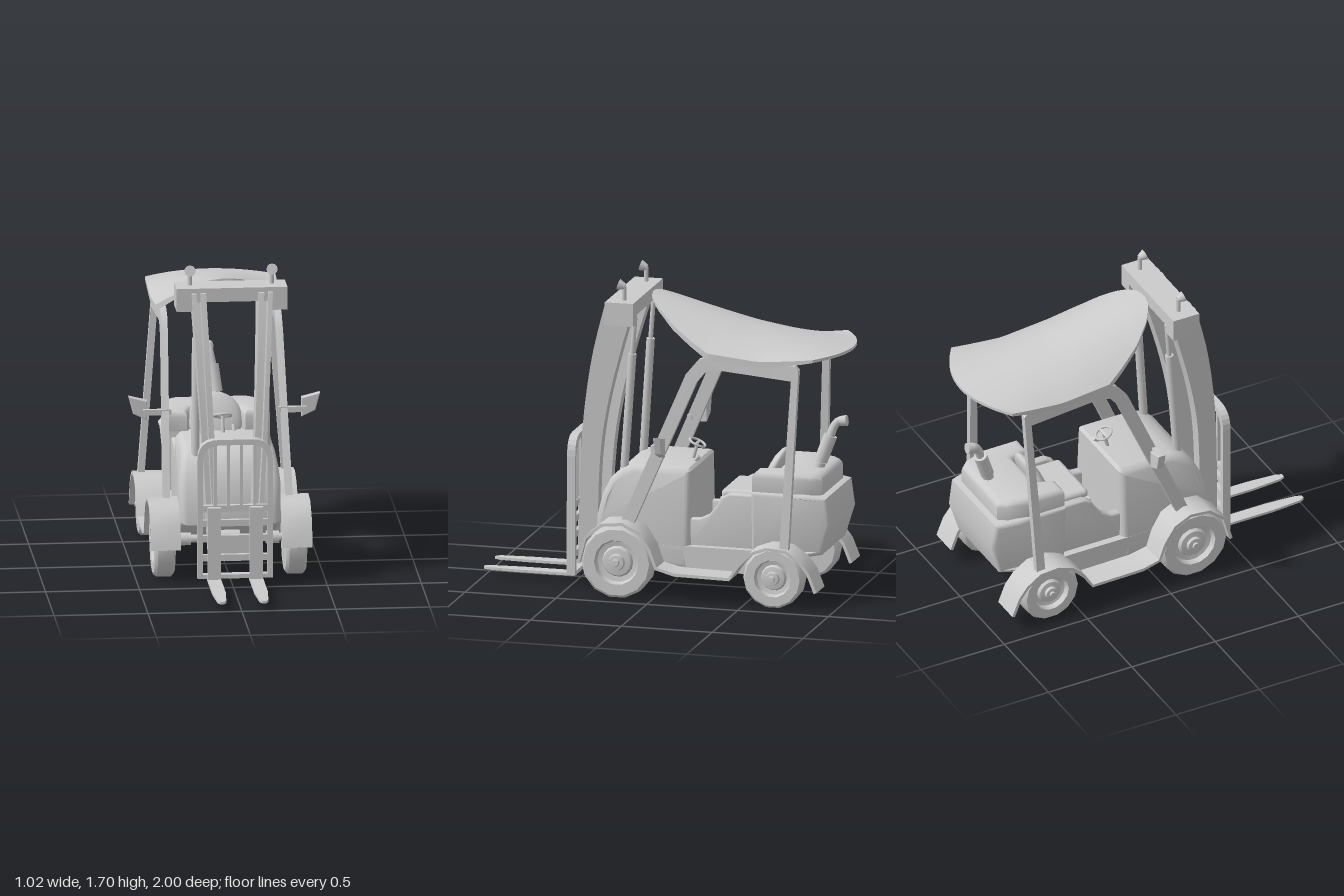
import * as THREE from 'three';
import { toCreasedNormals } from 'three/addons/utils/BufferGeometryUtils.js';
import { RoundedBoxGeometry } from 'three/addons/geometries/RoundedBoxGeometry.js';

const grey = new THREE.MeshStandardMaterial({ color: 0xcccccc, side: THREE.DoubleSide });
const V = (x, y, z) => new THREE.Vector3(x, y, z);
const flat = (points) => new THREE.Shape(points.map(([a, b]) => new THREE.Vector2(a, b)));
const mirrored = (points) => points.map(([a, b]) => [-a, b]).reverse();

function place(parent, name, object, x, y, z) {
  object.name = name;
  object.position.set(x, y, z);
  parent.add(object);
  return object;
}
const add = (parent, name, geo, x = 0, y = 0, z = 0) => place(parent, name, new THREE.Mesh(geo, grey), x, y, z);
const group = (parent, name, x) => place(parent, name, new THREE.Group(), x, 0, 0);
const box = (parent, name, w, h, d, x, y, z) => add(parent, name, new THREE.BoxGeometry(w, h, d), x, y, z);

function rod(parent, name, a, b, r1, r2 = r1) {
  const d = b.clone().sub(a);
  const mesh = add(parent, name, new THREE.CylinderGeometry(r2, r1, d.length(), 12));
  mesh.position.copy(a).addScaledVector(d, 0.5);
  mesh.quaternion.setFromUnitVectors(V(0, 1, 0), d.normalize());
}

// Move every vertex by a rule, then rebuild normals with sharp creases
function warp(geo, rule) {
  const p = geo.attributes.position, v = V(0, 0, 0);
  for (let i = 0; i < p.count; i++) {
    rule(v.fromBufferAttribute(p, i));
    p.setXYZ(i, v.x, v.y, v.z);
  }
  return toCreasedNormals(geo, 0.6);
}

// Extrude a shape to a total depth that includes its rounded bevel
function slab(shape, depth, bevel) {
  return new THREE.ExtrudeGeometry(shape, {
    depth: depth - 2 * bevel, bevelEnabled: bevel > 0, bevelSize: bevel,
    bevelThickness: bevel, bevelOffset: -bevel, bevelSegments: 3, curveSegments: 6,
  }).translate(0, 0, bevel);
}

// Side profile of [z, y] points, extruded across x and centred
function side(points, width, bevel = 0, rule = () => {}) {
  return warp(slab(flat(points), width, bevel).translate(0, 0, -width / 2).rotateY(-Math.PI / 2), rule);
}

// Piecewise value from [z, value] points listed from front to back
function valueAt(points, z) {
  const i = Math.min(Math.max(points.findIndex((p) => p[0] <= z), 1), points.length - 1);
  const [a, b] = [points[i - 1], points[i]];
  return THREE.MathUtils.lerp(a[1], b[1], (z - a[0]) / (b[0] - a[0]));
}

// Canopy: a subdivided box bent into arched sections with a deeper lip at the sides
function canopyGeometry() {
  const centre = [[0.1, 1.605], [-0.015, 1.58], [-0.285, 1.508], [-0.445, 1.467], [-0.7, 1.42], [-1, 1.372]];
  const edge = [[0.1, 1.46], [-0.1, 1.4], [-0.29, 1.365], [-0.59, 1.338], [-1, 1.37]];
  const half = [[0.1, 0.02], [0.09, 0.075], [0.04, 0.155], [-0.06, 0.24], [-0.18, 0.3], [-0.29, 0.345], [-1, 0.347]];
  return warp(new THREE.BoxGeometry(2, 1, 1, 16, 1, 24), (v) => {
    const t = 0.5 - v.z, z = 0.1 - 1.1 * t ** 1.5, x = v.x * valueAt(half, z), k = (x / 0.347) ** 2;
    const drop = v.y < 0 ? 0.016 + 0.022 * k * (1 - t ** 4) : 0;
    v.set(x, THREE.MathUtils.lerp(valueAt(centre, z), valueAt(edge, z), k) - drop, z + 0.13 * v.x ** 2 * t ** 6);
  });
}

export function createModel() {
  const model = new THREE.Group();
  model.name = 'forklift';

  // Body: front cowl, floor, footwell sides, seat base, counterweight and engine hood
  add(model, 'frontCowl', side([[0.35, 0.32], [0.345, 0.42], [0.315, 0.54], [0.27, 0.63], [0.21, 0.685], [0.14, 0.705],
    [-0.155, 0.705], [-0.17, 0.69], [-0.17, 0.16], [0, 0.17], [0.2, 0.26]], 0.57, 0.035, (v) => {
    if (v.z > 0.1) v.x *= 1 - 1.3 * (v.z - 0.1) ** 2;
    if (v.y > 0.5) v.x *= 1 - 2.5 * (v.y - 0.5) ** 2 - 0.25 * (v.y - 0.5);
  }));
  add(model, 'floor', side([[0.02, 0.16], [0, 0.29], [-0.55, 0.29], [-0.55, 0.16]], 0.56));
  const sill = side([[-0.15, 0.28], [-0.15, 0.43], [-0.22, 0.435], [-0.27, 0.46], [-0.31, 0.51], [-0.335, 0.555],
    [-0.38, 0.58], [-0.54, 0.58], [-0.54, 0.28]], 0.05, 0.01);
  for (const x of [0.215, -0.215]) add(model, 'footwellSide', sill, x);
  box(model, 'seatBase', 0.4, 0.28, 0.22, 0, 0.41, -0.43);
  const taper = (v) => {
    if (v.z < -0.8) v.x *= 1 - 0.85 * (-0.8 - v.z);
    if (v.y < 0.45) v.x *= 1 - 0.4 * (0.45 - v.y);
  };
  add(model, 'counterweight', side([[-0.51, 0.27], [-0.51, 0.61], [-0.7, 0.61], [-0.8, 0.608], [-0.92, 0.595], [-0.942, 0.45],
    [-0.89, 0.28], [-0.8, 0.265], [-0.66, 0.265]], 0.57, 0.02, taper));
  const hood = [[0.268, 0.515], [0.268, 0.73], [0.24, 0.84], [0.2, 0.885]], notch = [[0.12, 0.62], [0.155, 0.515]];
  const hoodPlan = flat([...hood, ...mirrored(hood), ...mirrored(notch), ...notch]);
  add(model, 'engineHood', warp(slab(hoodPlan, 0.17, 0.035).rotateX(-Math.PI / 2).translate(0, 0.55, 0), (v) => {
    if (v.z < -0.72) v.y += 0.08 * (v.z + 0.72);
  }));

  // Seat, steering wheel and lever
  add(model, 'seatCushion', new RoundedBoxGeometry(0.34, 0.07, 0.21, 3, 0.025), 0, 0.552, -0.42);
  const back = add(model, 'seatBack', new THREE.SphereGeometry(1, 20, 12), 0, 0.658, -0.57);
  back.scale.set(0.145, 0.15, 0.042);
  back.rotation.x = -0.42;
  const wheel = add(model, 'steeringWheel', new THREE.TorusGeometry(0.045, 0.007, 8, 20), 0, 0.79, -0.14);
  wheel.rotation.x = Math.PI / 2 - 0.44;
  box(wheel, 'steeringSpoke', 0.09, 0.012, 0.008, 0, 0, 0);
  rod(model, 'steeringColumn', V(0, 0.68, -0.11), V(0, 0.79, -0.14), 0.01);
  rod(model, 'lever', V(0.06, 0.69, -0.13), V(0.06, 0.73, -0.165), 0.006, 0.012);

  // Exhaust
  const pipe = [V(0.03, 0.69, -0.81), V(0.01, 0.88, -0.875), V(0, 0.93, -0.893), V(-0.005, 0.96, -0.92), V(-0.005, 0.965, -0.96)];
  add(model, 'exhaustPipe', new THREE.TubeGeometry(new THREE.CatmullRomCurve3(pipe), 20, 0.023, 10));
  rod(model, 'muffler', V(0.025, 0.74, -0.825), V(0.008, 0.88, -0.875), 0.037);
  rod(model, 'exhaustBase', V(0.03, 0.69, -0.81), V(0.026, 0.735, -0.825), 0.03);
  rod(model, 'exhaustTip', V(-0.005, 0.958, -0.925), V(-0.005, 0.963, -0.962), 0.027, 0.03);

  // Wheels, axles, fenders, canopy frames and mirrors on both sides
  const profile = [[0, -0.055], [0.18, -0.055], [0.197, -0.04], [0.197, 0.04], [0.182, 0.055], [0.122, 0.055],
    [0.112, 0.025], [0.085, 0.02], [0.075, 0.038], [0.045, 0.042], [0.04, 0.058], [0.02, 0.06], [0.016, 0.07], [0, 0.07]];
  const tyre = toCreasedNormals(new THREE.LatheGeometry(flat(profile).curves.length ? profile.map(([r, h]) => new THREE.Vector2(r, h)) : [], 14)
    .rotateZ(-Math.PI / 2), 0.6);
  const arch = [[0.407, 0.2], [0.368, 0.34], [0.273, 0.42], [0.155, 0.432], [0.06, 0.385], [0, 0.295], [-0.035, 0.2], [-0.13, 0.175],
    [-0.43, 0.17], [-0.475, 0.245], [-0.545, 0.315], [-0.635, 0.348], [-0.745, 0.34], [-0.825, 0.285], [-0.875, 0.22], [-0.915, 0.12]];
  const inner = arch.map(([z, y], i) => {
    const a = arch[Math.max(i - 1, 0)], b = arch[Math.min(i + 1, arch.length - 1)];
    const dz = b[0] - a[0], dy = b[1] - a[1], l = Math.hypot(dz, dy) / 0.017;
    return [z - dy / l, y + dz / l];
  });
  const fender = side([...arch, ...inner.reverse()], 0.16);
  const frame = [[0.185, 0.42], [-0.165, 1.24], [-0.235, 1.325], [-0.31, 1.35], [-0.765, 1.32], [-0.785, 1.3], [-0.75, 0.32],
    [-0.7, 0.32], [-0.745, 1.24], [-0.32, 1.275], [-0.27, 1.255], [-0.225, 1.2], [0.12, 0.4]];
  const mirror = slab(flat([[0.41, 0.8], [0.485, 0.835], [0.51, 0.93], [0.41, 0.905]]), 0.042, 0.006);
  for (const s of [1, -1]) {
    const label = s > 0 ? 'left' : 'right';
    for (const [end, y, z, k] of [['Front', 0.207, 0.195, 1], ['Rear', 0.175, -0.664, 0.83]]) {
      const w = add(model, label + end + 'Wheel', tyre, s * 0.35, y, z);
      w.scale.set(1, k, k);
      w.rotation.y = s > 0 ? 0 : Math.PI;
      rod(model, 'axleSleeve', V(s * 0.2, y, z), V(s * 0.27, y, z), 0.035);
    }
    add(model, label + 'Fender', fender, s * 0.35);
    add(model, label + 'CanopyFrame', side(frame, 0.036, 0, (v) => {
      v.x = s * (v.x + 0.305 + (1.3 - v.y) * (v.z < -0.5 ? 0.08 : 0.025));
    }));
    box(model, label + 'MirrorArm', 0.15, 0.03, 0.025, s * 0.36, 0.85, -0.015);
    add(model, label + 'Mirror', mirror, 0, 0, -0.078).scale.x = s;
  }
  for (const [y, z] of [[0.207, 0.195], [0.175, -0.664]]) {
    rod(model, 'axle', V(-0.32, y, z), V(0.32, y, z), 0.022);
    rod(model, 'differential', V(-0.06, y, z), V(0.06, y, z), 0.045);
  }
  add(model, 'canopy', canopyGeometry());

  // Mast: paired curved plates leaning inwards, with a top beam, lamps and rams
  const mast = group(model, 'mast', 0.012);
  const spline = (pts) => new THREE.SplineCurve(pts.map((p) => new THREE.Vector2(...p))).getPoints(14).map((p) => [p.x, p.y]);
  const front = spline([[0.475, 0.15], [0.465, 0.45], [0.44, 0.88], [0.385, 1.26], [0.305, 1.575]]);
  const rear = spline([[0.145, 1.575], [0.225, 1.31], [0.305, 0.99], [0.35, 0.67], [0.37, 0.15]]);
  const web = front.map(([z, y], i) => [(z + rear[rear.length - 1 - i][0]) / 2, y]);
  const beam = [[0.21, 1.525], [0.21, 1.475], [0.295, 1.475], [0.295, 1.6]];
  add(mast, 'topBeam', slab(flat([...beam, ...mirrored(beam)]), 0.155, 0), 0, 0, 0.13);
  for (const s of [1, -1]) {
    const rail = (name, edge, width, x, k) => add(mast, name, side([...edge, ...rear], width, 0, (v) => {
      v.x = s * (v.x + x - k * (1.58 - v.y));
    }));
    rail('outerRail', front, 0.024, 0.204, 0.055);
    rail('innerRail', front, 0.03, 0.155, 0.042);
    rail('railWeb', web, 0.026, 0.18, 0.05);
    rod(mast, 'liftRam', V(s * 0.19, 0.62, 0.21), V(s * 0.18, 1.3, 0.165), 0.023);
    rod(mast, 'liftRod', V(s * 0.18, 1.3, 0.165), V(s * 0.18, 1.5, 0.15), 0.013);
    rod(mast, 'lampPost', V(s * 0.218, 1.59, 0.2), V(s * 0.218, 1.675, 0.2), 0.012);
    rod(mast, 'lamp', V(s * 0.218, 1.673, 0.195), V(s * 0.218, 1.684, 0.23), 0.016, 0.03);
  }
  box(mast, 'lowerCrossMember', 0.26, 0.08, 0.06, 0, 0.22, 0.41);

  // Fork carriage: rounded guard frame, bars, rungs and forks
  const carriage = group(model, 'forkCarriage', 0.008);
  const outline = (path, w, y0, y1, r) => path.moveTo(-w, y0).lineTo(w, y0).lineTo(w, y1 - r)
    .quadraticCurveTo(w, y1, w - r, y1).lineTo(-w + r, y1).quadraticCurveTo(-w, y1, -w, y1 - r);
  const guard = outline(new THREE.Shape(), 0.2, 0.07, 0.83, 0.11);
  guard.holes.push(outline(new THREE.Path(), 0.172, 0.092, 0.8, 0.09));
  add(carriage, 'guardFrame', slab(guard, 0.045, 0), 0, 0, 0.475);
  for (const x of [-0.105, -0.035, 0.035, 0.105]) box(carriage, 'guardBar', 0.016, 0.36, 0.02, x, 0.63, 0.497);
  for (const y of [0.45, 0.37, 0.285, 0.18]) box(carriage, 'rung', 0.36, 0.035, 0.025, 0, y, 0.495);
  const tine = [[0.036, -0.5], [0.036, -0.8], [0.024, -0.97], [0.01, -1]];
  const blade = slab(flat([...tine, ...mirrored(tine)]), 0.014, 0).rotateX(-Math.PI / 2);
  for (const x of [0.112, -0.112]) {
    box(carriage, 'forkUpright', 0.07, 0.4, 0.03, x, 0.26, 0.522);
    add(carriage, 'forkBlade', blade, x, 0.055, 0);
  }
  return model;
}
